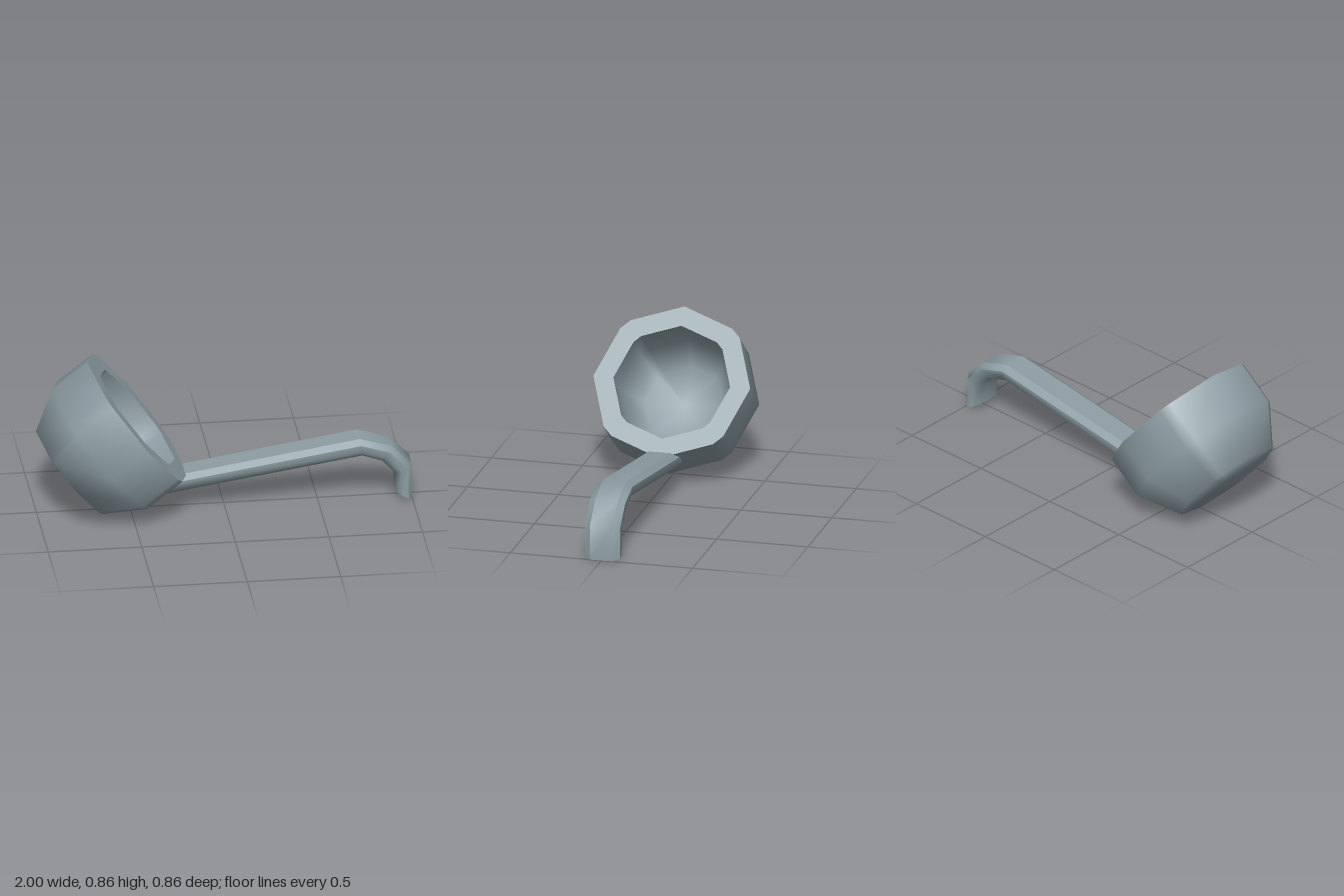
import * as THREE from 'three';

// Smooth surface through rows of points; closed joins the last column to the first
function loft(rows, closed) {
  const n = rows[0].length, cols = closed ? n : n - 1, index = [];
  for (let i = 0; i < rows.length - 1; i++) {
    for (let j = 0; j < cols; j++) {
      const k = (j + 1) % n;
      const a = i * n + j, b = i * n + k, c = (i + 1) * n + k, d = (i + 1) * n + j;
      index.push(a, b, c, a, c, d);
    }
  }
  const geo = new THREE.BufferGeometry();
  geo.setAttribute('position', new THREE.Float32BufferAttribute(rows.flat(2), 3));
  geo.setIndex(index);
  geo.computeVertexNormals();
  return geo;
}

export function createModel() {
  const metal = new THREE.MeshStandardMaterial({ color: 0x8c9da3, side: THREE.DoubleSide });
  metal.name = 'grey metal';
  const model = new THREE.Group();
  model.name = 'ladle';

  const add = (parent, name, rows, closed) => {
    const mesh = new THREE.Mesh(loft(rows, closed), metal);
    mesh.name = name;
    parent.add(mesh);
  };

  // Bowl: an octagon whose diagonal corners are bevelled, tilted toward the handle
  const angles = [];
  for (let q = 0; q < 4; q++) for (const a of [0, 40.3, 49.7]) angles.push(THREE.MathUtils.degToRad(q * 90 + a));
  const ring = ([r, y]) => angles.map(a => [r * Math.cos(a), y, r * Math.sin(a)]);
  const bowl = new THREE.Group();
  bowl.name = 'bowl';
  bowl.position.set(-0.46, 0.525, 0);
  bowl.rotation.z = -0.901;
  add(bowl, 'bowlOutside', [[0.43, 0], [0.43, -0.24], [0.3, -0.455], [0, -0.455]].map(ring), true);
  add(bowl, 'bowlRim', [[0.32, 0], [0.43, 0]].map(ring), true);
  add(bowl, 'bowlInside', [[0, -0.35], [0.22, -0.35], [0.32, -0.21], [0.32, 0]].map(ring), true);
  model.add(bowl);

  // Handle: stations of top x, y and underside x, y, ending in a downward hook
  const stations = [
    [-0.33, 0.195, -0.345, 0.095],
    [0.72, 0.36, 0.735, 0.262],
    [0.89, 0.31, 0.84, 0.225],
    [0.998, 0.2, 0.91, 0.15],
    [1.0, 0.003, 0.915, 0.04],
  ];
  // Cross-section: z and share of the way from top to underside
  const section = [
    [-0.062, 0], [0.062, 0], [0.097, 0.26], [0.097, 0.65],
    [0.06, 1], [-0.06, 1], [-0.097, 0.65], [-0.097, 0.26],
  ];
  const place = ([tx, ty, bx, by], [z, t]) => [tx + (bx - tx) * t, ty + (by - ty) * t, z];
  const handle = new THREE.Group();
  handle.name = 'handle';
  const strip = (name, ids) =>
    add(handle, name, stations.map(s => ids.map(i => place(s, section[i]))), false);
  strip('handleTop', [0, 1]);
  strip('handleLeftBevel', [1, 2]);
  strip('handleUnderside', [2, 3, 4, 5, 6, 7]);
  strip('handleRightBevel', [7, 0]);

  // End caps
  const edge = s => section.map(p => place(s, p));
  const middle = s => section.map(() => place(s, [0, 0.5]));
  const first = stations[0], last = stations[stations.length - 1];
  add(handle, 'handleBase', [middle(first), edge(first)], true);
  add(handle, 'hookTip', [edge(last), middle(last)], true);
  model.add(handle);

  return model;
}
